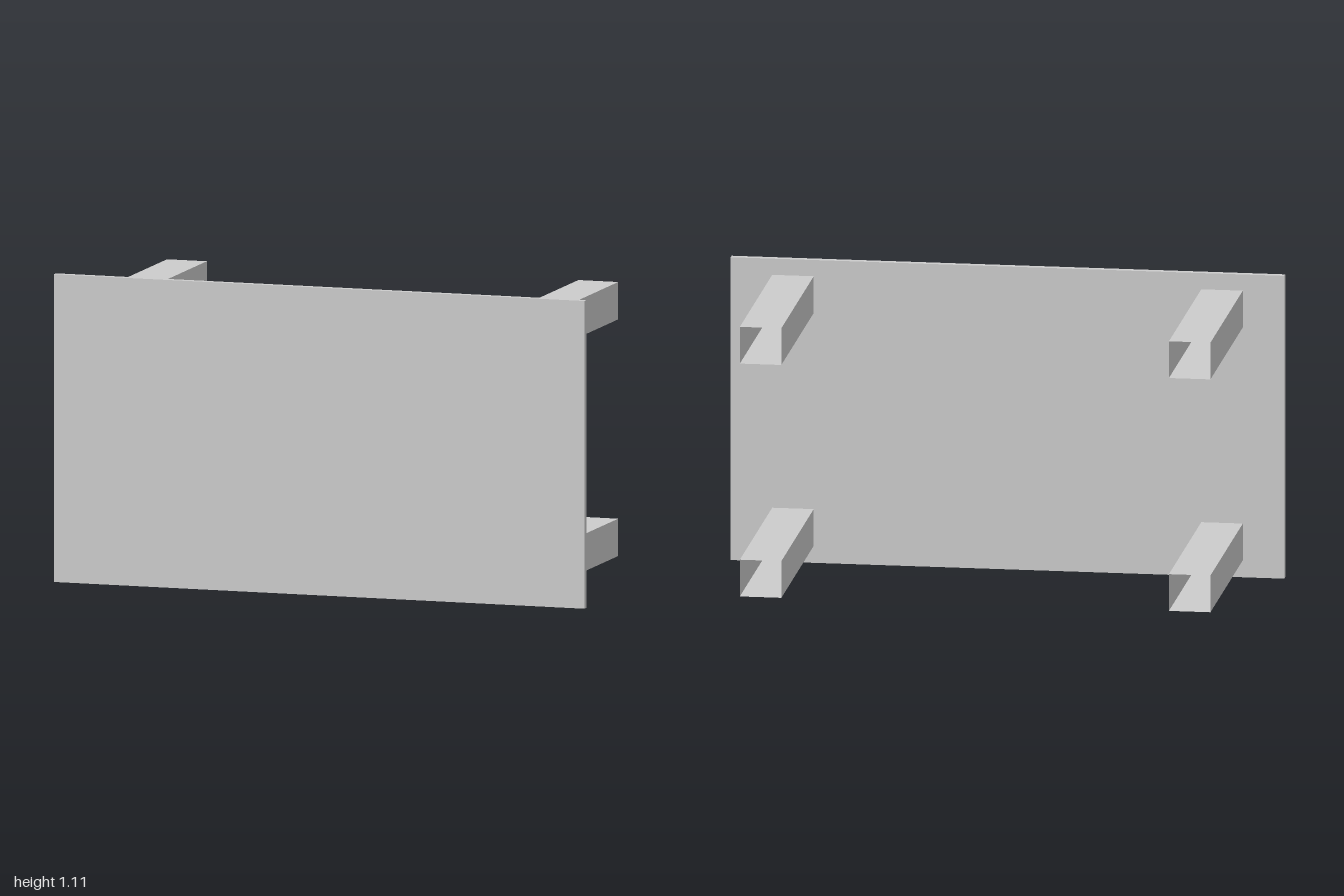
import * as THREE from 'three';

const WIDTH = 2, HEIGHT = 1.113, DEPTH = 0.832, THICK = 0.024;
const LEG_W = 0.15, LEG_H = 0.135;

export function createModel() {
  const model = new THREE.Group();
  model.name = 'table';
  const material = new THREE.MeshStandardMaterial({ color: 0xcccccc, flatShading: true });
  const tubeMaterial = material.clone();
  tubeMaterial.side = THREE.DoubleSide;

  // Table top, standing on its long edge and facing forward
  const top = new THREE.Mesh(new THREE.BoxGeometry(WIDTH, HEIGHT, THICK), material);
  top.name = 'tableTop';
  top.position.set(0, HEIGHT / 2, DEPTH / 2 - THICK / 2);
  model.add(top);

  // Hollow, open-ended rectangular legs pointing backward
  const length = DEPTH - THICK;
  const legGeometry = new THREE.CylinderGeometry(Math.SQRT1_2, Math.SQRT1_2, 1, 4, 1, true, Math.PI / 4)
    .rotateX(Math.PI / 2)
    .scale(LEG_W, LEG_H, length)
    .toNonIndexed();
  legGeometry.computeVertexNormals();

  for (const [side, x] of [['left', 0.775], ['right', -0.775]]) {
    for (const [level, y] of [['Upper', 0.986], ['Lower', 0.13]]) {
      const leg = new THREE.Mesh(legGeometry, tubeMaterial);
      leg.name = `${side}${level}Leg`;
      leg.position.set(x, y, -THICK / 2);
      model.add(leg);
    }
  }
  return model;
}
